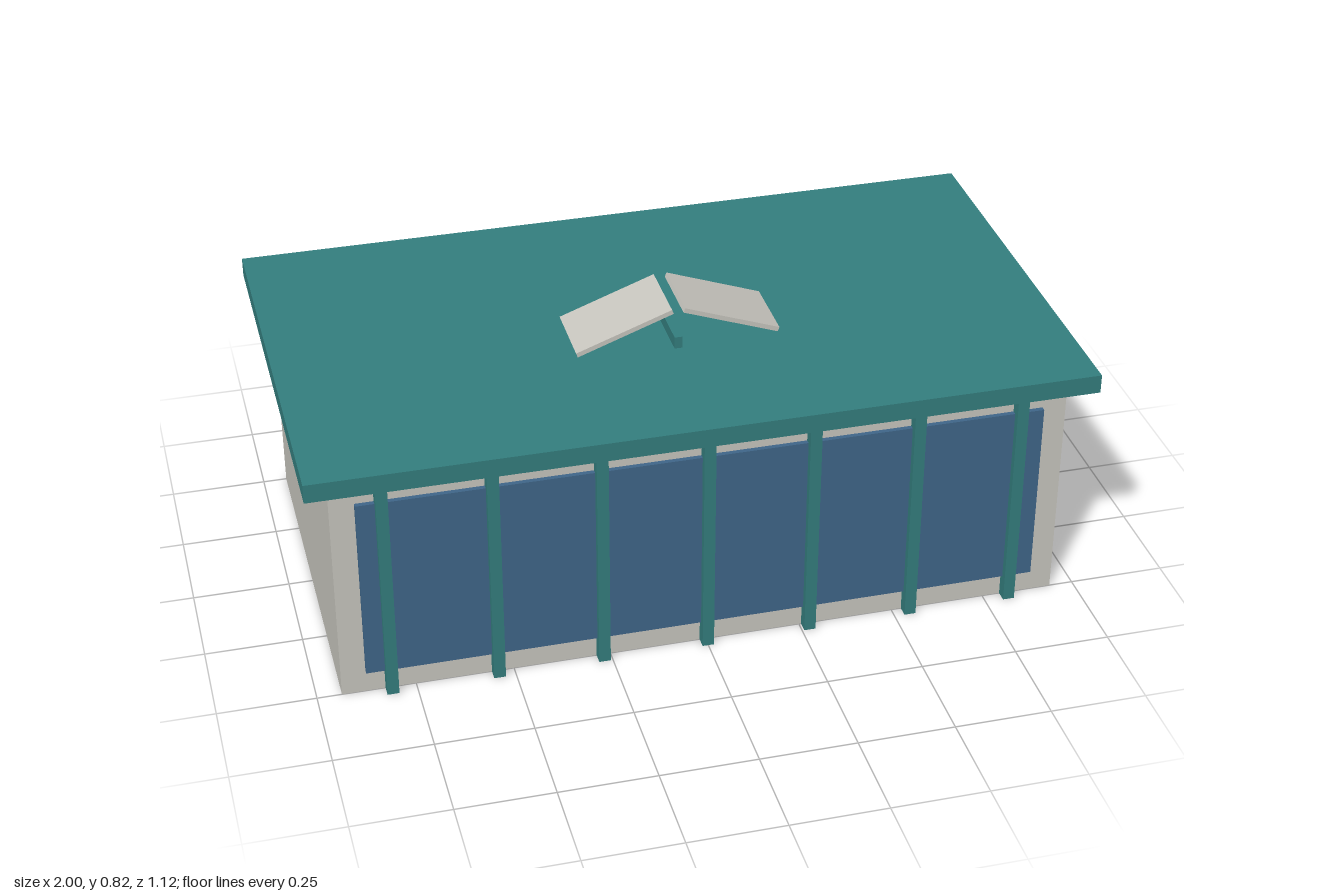
import * as THREE from 'three';

const material = (name, color) => {
  const m = new THREE.MeshStandardMaterial({ color });
  m.name = name;
  return m;
};

export function createModel() {
  const wall = material('wall grey', 0xc9c7c0);
  const teal = material('teal trim', 0x347f7f);
  const blue = material('blue glass', 0x40678a);
  const model = new THREE.Group();
  model.name = 'pavilion';

  const box = (name, mat, size, position, parent = model) => {
    const mesh = new THREE.Mesh(new THREE.BoxGeometry(...size), mat);
    mesh.name = name;
    mesh.position.set(...position);
    parent.add(mesh);
    return mesh;
  };

  // Main hall and overhanging flat roof
  box('walls', wall, [1.875, 0.625, 1], [0, 0.3125, 0]);
  box('roof', teal, [2, 0.05, 1.125], [0, 0.65, 0]);

  // Front glazing, slightly proud of the wall
  box('frontWindow', blue, [1.75, 0.5, 0.0125], [0, 0.3125, 0.50625]);

  // Seven evenly spaced posts across the front
  const posts = new THREE.Group();
  posts.name = 'frontPosts';
  model.add(posts);
  for (let i = 0; i < 7; i++) {
    const x = -0.8125 + (i * 1.625) / 6;
    box('frontPost', teal, [0.03, 0.625, 0.03], [x, 0.3125, 0.515], posts);
  }

  // Raised gable: a ridge bar below two sloping panels
  const gable = new THREE.Group();
  gable.name = 'roofGable';
  model.add(gable);
  box('ridgeBar', teal, [0.02, 0.032, 0.1875], [0, 0.719, 0.125], gable);
  for (const side of [-1, 1]) {
    const panel = box('gablePanel', wall, [0.2625, 0.0125, 0.1875], [side * 0.138, 0.765, 0.125], gable);
    panel.rotation.z = -side * 0.35;
  }

  return model;
}
